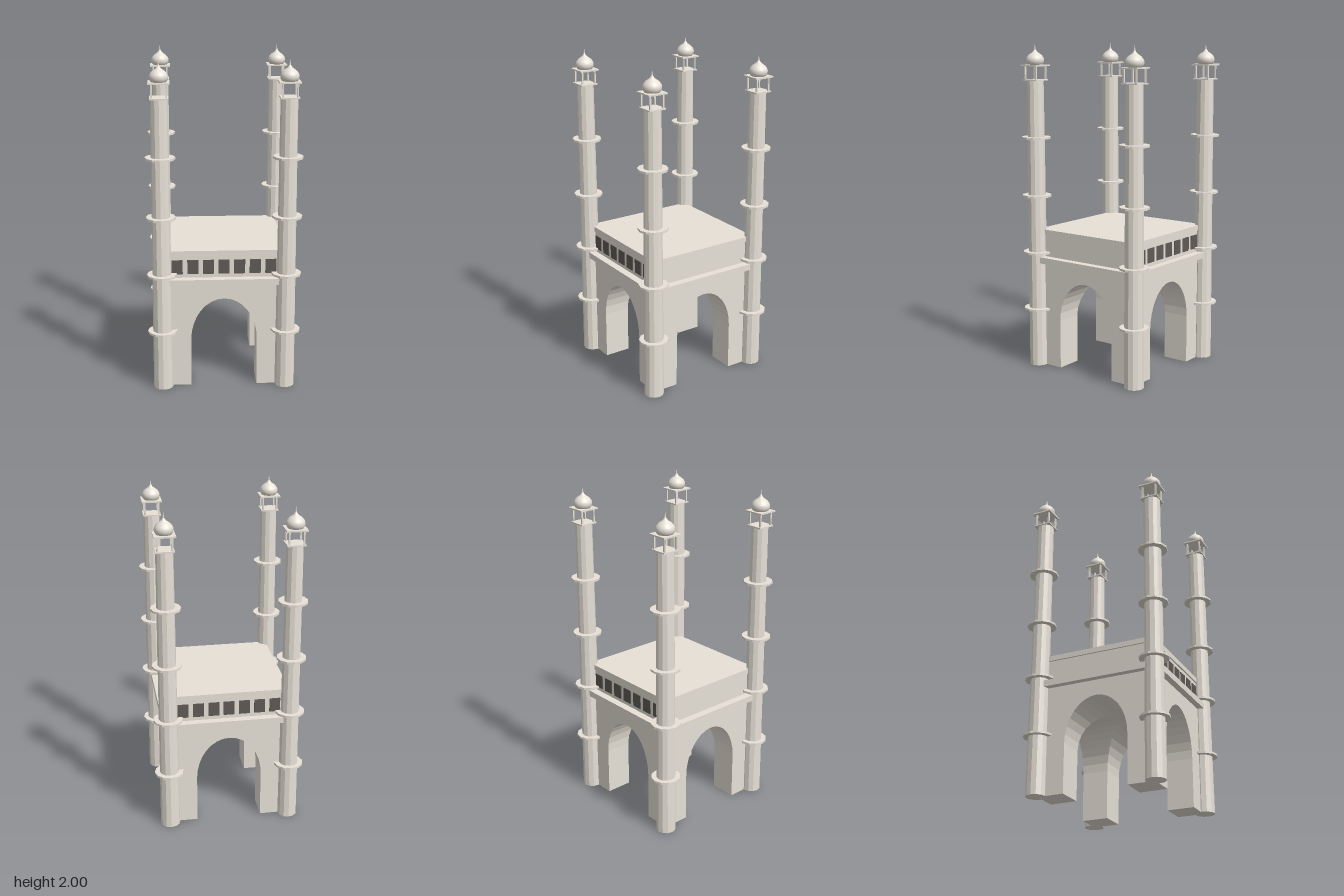
import * as THREE from 'three';

const stone = new THREE.MeshStandardMaterial({ color: 0xe7e1d7 });
stone.name = 'pale stone';
const dark = new THREE.MeshStandardMaterial({ color: 0x5f5a55 });
dark.name = 'dark window';

const WALL = 0.366;    // half width of the gate block
const ARCH = 0.2;      // half width of each arch
const SPRING = 0.3;    // height where the arch starts to curve
const RISE = 0.264;
const LEDGE_Y = 0.659;
const TOWER = 0.372;   // tower offset from the centre

function add(parent, name, geometry, material, x = 0, y = 0, z = 0) {
  const mesh = new THREE.Mesh(geometry, material);
  mesh.name = name;
  mesh.position.set(x, y, z);
  parent.add(mesh);
  return mesh;
}

// Box standing on height y
function slab(parent, name, w, h, d, x, y, z, material = stone) {
  return add(parent, name, new THREE.BoxGeometry(w, h, d), material, x, y + h / 2, z);
}

// Twelve-sided drum with flat facets
function drum(top, bottom, height) {
  const g = new THREE.CylinderGeometry(top, bottom, height, 12).toNonIndexed();
  g.computeVertexNormals();
  return g;
}

// Arch outline from the right foot over the crown to the left foot
function archProfile(steps = 16) {
  const pts = [new THREE.Vector2(ARCH, 0)];
  for (let i = 0; i <= steps; i++) {
    const a = (i / steps) * Math.PI;
    pts.push(new THREE.Vector2(ARCH * Math.cos(a), SPRING + RISE * Math.sin(a)));
  }
  pts.push(new THREE.Vector2(-ARCH, 0));
  return pts;
}

// Quarter of a groin vault: the arch swept from the facade to the diagonals,
// with its faces turned towards the passage
function vaultGeometry(profile) {
  const pos = [];
  for (let i = 0; i < profile.length - 1; i++) {
    const p = profile[i], q = profile[i + 1];
    const a = [p.x, p.y, WALL], b = [q.x, q.y, WALL];
    const c = [q.x, q.y, Math.abs(q.x)], d = [p.x, p.y, Math.abs(p.x)];
    pos.push(...a, ...b, ...c, ...a, ...c, ...d);
  }
  const g = new THREE.BufferGeometry();
  g.setAttribute('position', new THREE.Float32BufferAttribute(pos, 3));
  g.computeVertexNormals();
  return g;
}

function buildGate() {
  const gate = new THREE.Group();
  gate.name = 'gate';
  const profile = archProfile();

  const outline = new THREE.Shape([
    new THREE.Vector2(WALL, 0), new THREE.Vector2(WALL, LEDGE_Y),
    new THREE.Vector2(-WALL, LEDGE_Y), new THREE.Vector2(-WALL, 0),
    ...profile.slice().reverse(),
  ]);
  const facade = new THREE.ShapeGeometry(outline);
  const vault = vaultGeometry(profile);
  const pierWidth = WALL - ARCH;
  const foot = new THREE.PlaneGeometry(pierWidth, pierWidth).rotateX(Math.PI / 2);

  for (let i = 0; i < 4; i++) {
    const side = new THREE.Group();
    side.name = 'archedSide';
    side.rotation.y = (i * Math.PI) / 2;
    add(side, 'archedWall', facade, stone, 0, 0, WALL);
    add(side, 'vault', vault, stone);
    add(side, 'pierFoot', foot, stone, (WALL + ARCH) / 2, 0, (WALL + ARCH) / 2);
    gate.add(side);
  }

  // Ledge, upper storey and roof
  slab(gate, 'ledge', 0.81, 0.039, 0.81, 0, LEDGE_Y, 0);
  slab(gate, 'upperStorey', 0.716, 0.14, 0.716, 0, 0.697, 0);
  slab(gate, 'roof', 0.734, 0.032, 0.734, 0, 0.836, 0);

  // Window rows on the front and back
  for (const z of [-1, 1])
    for (let i = -3; i <= 3; i++)
      slab(gate, 'window', 0.066, 0.087, 0.008, i * 0.0935, 0.722, z * 0.359, dark);
  return gate;
}

function buildTower() {
  const tower = new THREE.Group();
  tower.name = 'tower';
  add(tower, 'shaft', drum(0.051, 0.06, 1.784), stone, 0, 0.892, 0);
  for (const y of [0.363, 0.723, 1.078, 1.436])
    add(tower, 'ring', drum(0.089, 0.089, 0.013), stone, 0, y, 0);

  // Open pavilion
  slab(tower, 'pavilionFloor', 0.11, 0.008, 0.11, 0, 1.782, 0);
  for (const x of [-1, 1])
    for (const z of [-1, 1])
      slab(tower, 'pavilionPost', 0.01, 0.083, 0.01, x * 0.043, 1.788, z * 0.043);
  slab(tower, 'pavilionRoof', 0.125, 0.009, 0.125, 0, 1.869, 0);

  // Onion dome and finial
  const dome = new THREE.SplineCurve([
    [0.044, 1.877], [0.052, 1.889], [0.055, 1.904], [0.051, 1.921],
    [0.036, 1.939], [0.016, 1.953], [0.005, 1.969],
  ].map(([r, y]) => new THREE.Vector2(r, y))).getPoints(14);
  add(tower, 'dome', new THREE.LatheGeometry(dome, 20), stone);
  add(tower, 'finial', new THREE.ConeGeometry(0.0055, 0.035, 8), stone, 0, 1.9825, 0);
  return tower;
}

export function createModel() {
  const model = new THREE.Group();
  model.name = 'fourTowerGate';
  model.add(buildGate());
  for (const x of [-1, 1])
    for (const z of [-1, 1]) {
      const tower = buildTower();
      tower.position.set(x * TOWER, 0, z * TOWER);
      model.add(tower);
    }
  return model;
}
